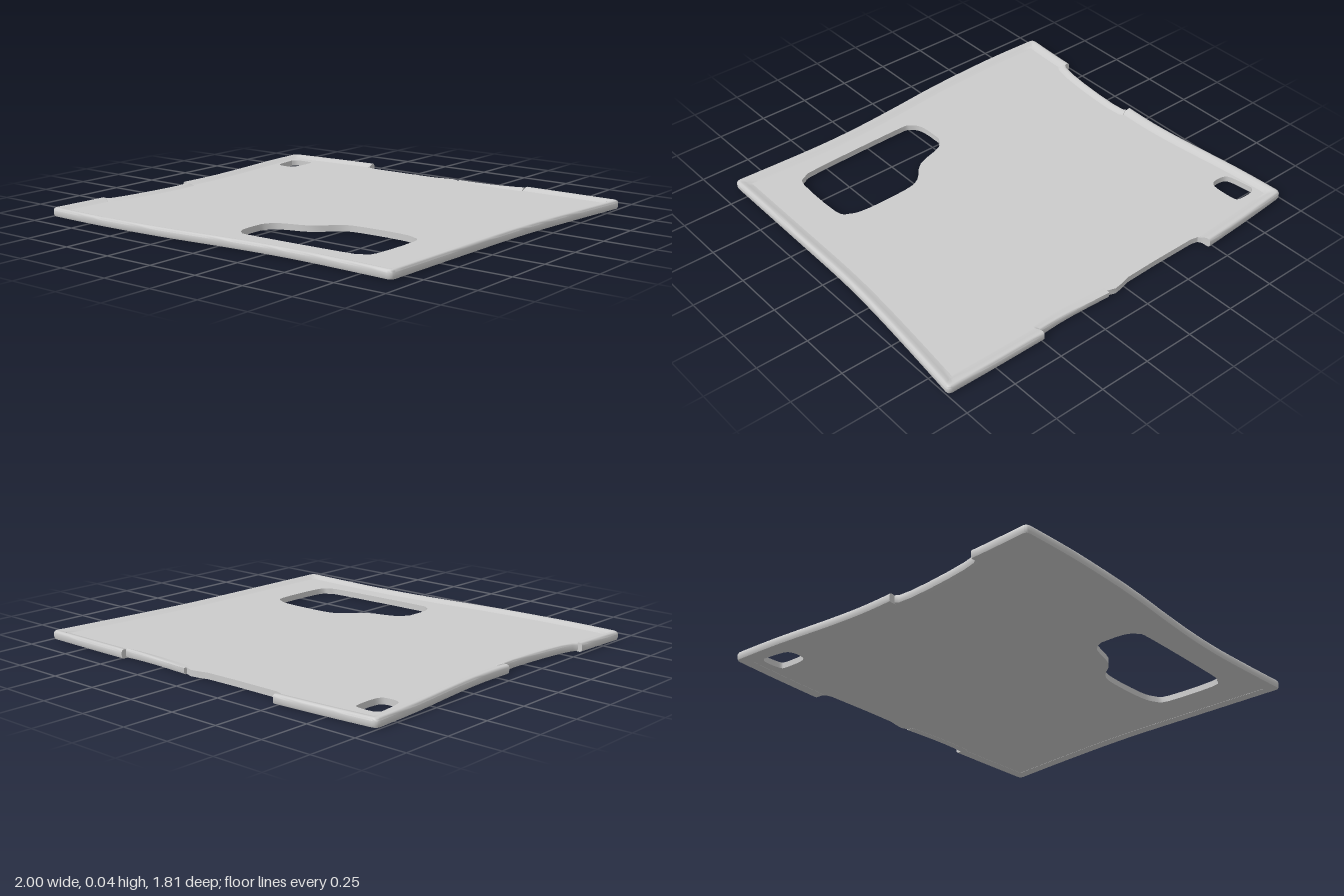
import * as THREE from 'three';
import { toCreasedNormals } from 'three/addons/utils/BufferGeometryUtils.js';

const PLATE_TOP = 0.03;
const material = new THREE.MeshStandardMaterial({ color: 0xcccccc });
const V = (p) => new THREE.Vector2(p[0], p[1]);

// Rim cross-section: [share of width from outside to inside, height]
const PROFILE = [
  [0.2, 0], [0.06, 0.003], [0, 0.012], [0, 0.031], [0.05, 0.039], [0.16, 0.043],
  [0.32, 0.0425], [0.55, 0.038], [0.8, 0.032], [1, 0.0295], [1, 0],
];

// Turns a run of curved edges into pairs of outer and inner points, with rounded corners.
function makeRail(edges, width) {
  const runs = edges.map((edge) => {
    const curve = new THREE.SplineCurve(edge.map(V));
    const n = Math.max(3, Math.ceil(curve.getLength() / 0.08));
    return Array.from({ length: n + 1 }, (_, i) => {
      const t = curve.getTangent(i / n);
      return { p: curve.getPoint(i / n), t, n: new THREE.Vector2(t.y, -t.x) };
    });
  });
  const rail = [];
  runs.forEach((run, e) => {
    run.forEach((s, i) => {
      const next = runs[e + 1];
      if (i === 0 && e > 0) return;
      if (i === run.length - 1 && next) {
        const inner = s.p.clone().addScaledVector(s.n, width).addScaledVector(next[0].n, width);
        const a = s.p.clone().addScaledVector(s.t, -0.025);
        const b = s.p.clone().addScaledVector(next[0].t, 0.025);
        const arc = new THREE.QuadraticBezierCurve(a, s.p, b);
        arc.getPoints(4).forEach((o) => rail.push({ o, i: inner }));
      } else {
        rail.push({ o: s.p, i: s.p.clone().addScaledVector(s.n, width) });
      }
    });
  });
  return rail;
}

// Sweeps the cross-section along a rail; lift(u) scales how far it stands above the plate.
function makeRim(name, rail, lift = () => 1) {
  const pos = [], index = [], K = PROFILE.length, last = (rail.length - 1) * K;
  rail.forEach((r, j) => {
    const h = lift(j / (rail.length - 1));
    PROFILE.forEach(([t, y]) => {
      const p = r.o.clone().lerp(r.i, t);
      pos.push(p.x, y > PLATE_TOP ? PLATE_TOP + (y - PLATE_TOP) * h : y, p.y);
    });
  });
  for (let j = 0; j < rail.length - 1; j++) {
    for (let k = 0; k < K; k++) {
      const a = j * K + k, b = j * K + (k + 1) % K;
      index.push(a, a + K, b, b, a + K, b + K);
    }
  }
  for (let k = 0; k < K - 2; k++) {
    index.push(K - 1, k, k + 1, last + K - 1, last + k + 1, last + k);
  }
  const geo = new THREE.BufferGeometry();
  geo.setAttribute('position', new THREE.Float32BufferAttribute(pos, 3));
  geo.setIndex(index);
  const mesh = new THREE.Mesh(toCreasedNormals(geo, 0.75), material);
  mesh.name = name;
  return mesh;
}

// Hole with softly rounded corners
function makeHole(points) {
  const curve = new THREE.SplineCurve([...points, points[0]].map((p) => V([p[0], -p[1]])));
  return new THREE.Path(curve.getPoints(points.length * 3).slice(0, -1));
}

export function createModel() {
  const group = new THREE.Group();
  group.name = 'panel';

  // Rim around the front, the right-hand side of the plan and part of the back
  const frontRail = makeRail([
    [[-0.987, 0.59], [-0.99, 0.7], [-1, 0.895]],
    [[-1, 0.895], [-0.8, 0.9], [-0.6, 0.898], [-0.3, 0.883], [0, 0.853], [0.25, 0.834], [0.5, 0.83], [0.915, 0.845]],
    [[0.915, 0.845], [0.92, 0.4], [0.925, 0], [0.938, -0.25], [0.965, -0.55], [1, -0.88]],
    [[1, -0.88], [0.75, -0.884], [0.49, -0.885]],
  ], 0.06);
  // Cut-back stretch of the back rim that sinks into the plate
  const backRail = makeRail([[[0.49, -0.86], [0.4, -0.854], [0.27, -0.855], [0.1, -0.865]]], 0.045);
  // Rim around the remaining back corner
  const cornerRail = makeRail([
    [[-0.48, -0.91], [-0.75, -0.893], [-1, -0.872]],
    [[-1, -0.872], [-0.985, -0.6], [-0.955, -0.3], [-0.942, -0.1], [-0.944, 0.08]],
  ], 0.06);
  // Side recess
  const recessRail = makeRail([[[-0.92, 0.085], [-0.907, 0.12], [-0.91, 0.25], [-0.925, 0.42], [-0.945, 0.55], [-0.965, 0.59]]], 0.045);

  group.add(
    makeRim('frontAndSideRim', frontRail),
    makeRim('backRim', backRail, (u) => 1 - u),
    makeRim('cornerRim', cornerRail),
    makeRim('recessRim', recessRail, () => 0.85),
  );

  // Plate, reaching under the rims and bare along the back notch
  const under = (rail) => rail.map((r) => r.o.clone().lerp(r.i, 0.35));
  const outline = [
    ...under(frontRail), ...under(backRail),
    ...[[0.06, -0.863], [0.02, -0.857], [-0.03, -0.844], [-0.2, -0.84], [-0.43, -0.84], [-0.465, -0.848], [-0.478, -0.868]].map(V),
    ...under(cornerRail), ...under(recessRail),
  ];
  const shape = new THREE.Shape(outline.map((p) => new THREE.Vector2(p.x, -p.y)));
  shape.holes.push(
    makeHole([
      [-0.045, 0.51], [0, 0.45], [0.15, 0.4], [0.24, 0.31], [0.33, 0.282], [0.55, 0.28], [0.64, 0.303],
      [0.678, 0.36], [0.675, 0.62], [0.635, 0.67], [0.55, 0.688], [0.08, 0.7], [-0.005, 0.688], [-0.042, 0.63],
    ]),
    makeHole([
      [-0.926, -0.755], [-0.9, -0.778], [-0.82, -0.778], [-0.8, -0.755],
      [-0.798, -0.65], [-0.82, -0.612], [-0.88, -0.61], [-0.91, -0.64],
    ]),
  );
  const plateGeo = new THREE.ExtrudeGeometry(shape, { depth: PLATE_TOP - 0.001, bevelEnabled: false });
  plateGeo.rotateX(-Math.PI / 2).translate(0, 0.001, 0);
  const plate = new THREE.Mesh(toCreasedNormals(plateGeo, 0.7), material);
  plate.name = 'plate';
  group.add(plate);

  return group;
}
